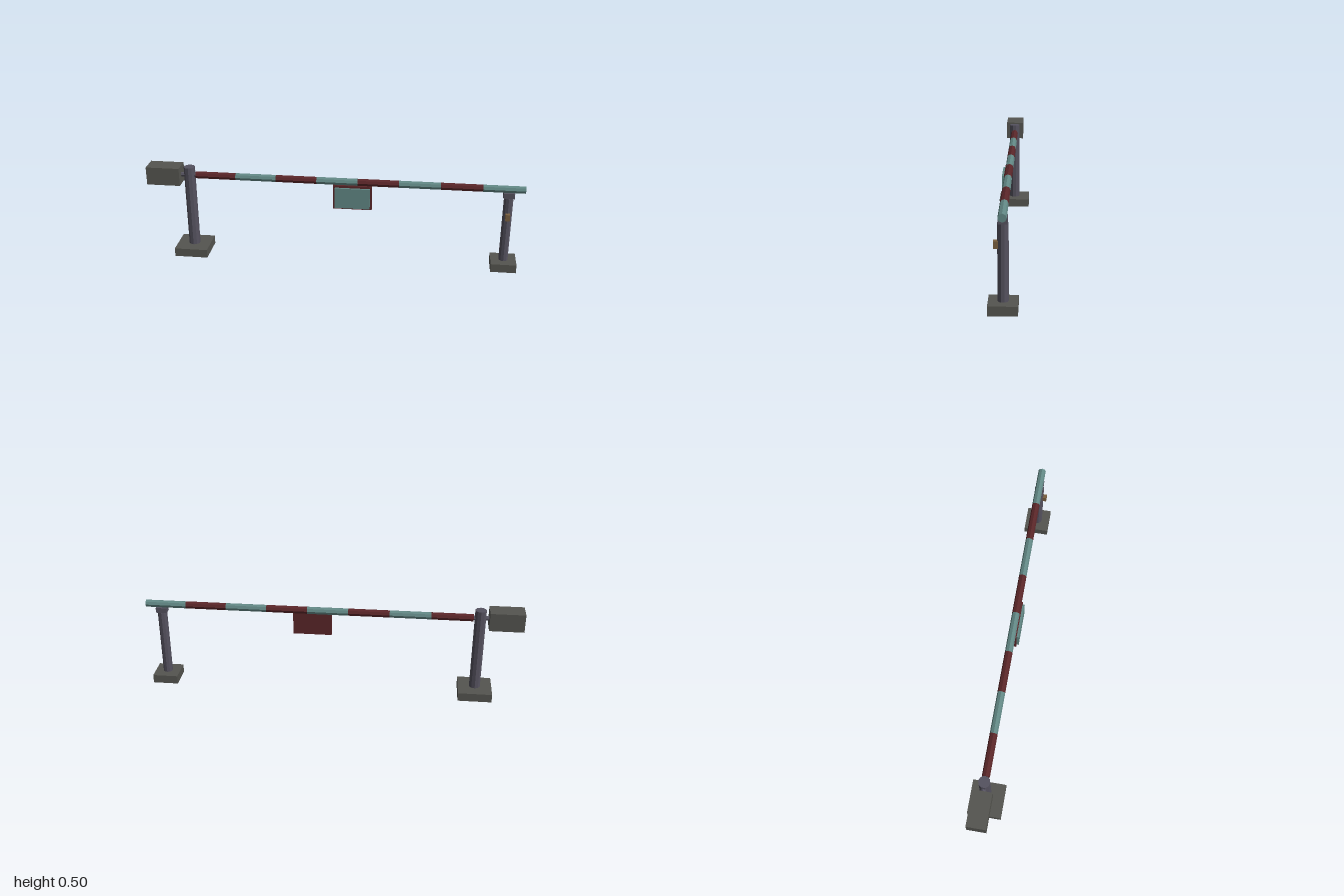
import * as THREE from 'three';

const mat = (color) => new THREE.MeshStandardMaterial({ color, flatShading: true });

export function createModel() {
  const model = new THREE.Group();
  const concrete = mat(0x555550), steel = mat(0x55525f), red = mat(0x5a2629);
  const pale = mat(0x628885), amber = mat(0x7a6040);

  const add = (name, geometry, material, x, y, z) => {
    const mesh = new THREE.Mesh(geometry, material);
    mesh.name = name;
    mesh.position.set(x, y, z);
    model.add(mesh);
    return mesh;
  };
  const box = (name, m, w, h, d, x, y, z) => add(name, new THREE.BoxGeometry(w, h, d), m, x, y, z);
  // cylinder lying along x
  const rod = (name, m, r, length, x, y, sides) => {
    const g = new THREE.CylinderGeometry(r, r, length, sides);
    return add(name, g.rotateX(Math.PI / 2).rotateY(Math.PI / 2), m, x, y, 0);
  };

  // footing and post at each end
  const support = (side, x, footing, radius, top) => {
    box(side + 'Footing', concrete, footing, 0.046, footing, x, 0.023, 0);
    const h = top - 0.046;
    add(side + 'Post', new THREE.CylinderGeometry(radius, radius, h, 10), steel, x, 0.046 + h / 2, 0);
  };
  support('pivot', -0.775, 0.18, 0.03, 0.498);
  support('rest', 0.917, 0.135, 0.025, 0.408);

  // counterweight behind the pivot, joined by a short axle
  const barY = 0.453;
  box('counterweight', concrete, 0.18, 0.098, 0.098, -0.91, barY, 0);
  rod('axle', steel, 0.013, 0.1, -0.785, barY, 8);

  // striped boom
  const start = -0.74, stripes = 8, step = (1 - start) / stripes;
  for (let i = 0; i < stripes; i++) {
    rod('boomStripe' + (i + 1), i % 2 ? pale : red, 0.02, step, start + (i + 0.5) * step, barY, 8);
  }

  // saddle that receives the boom, and the lock on the rest post
  box('saddle', steel, 0.058, 0.028, 0.042, 0.917, 0.422, 0);
  box('lock', amber, 0.024, 0.035, 0.022, 0.917, 0.308, 0.032);

  // sign hanging from the boom: backing plate with a paler face
  box('signBacking', red, 0.206, 0.132, 0.012, 0.105, 0.372, 0.018);
  box('signFace', pale, 0.186, 0.112, 0.012, 0.105, 0.371, 0.03);

  return model;
}
